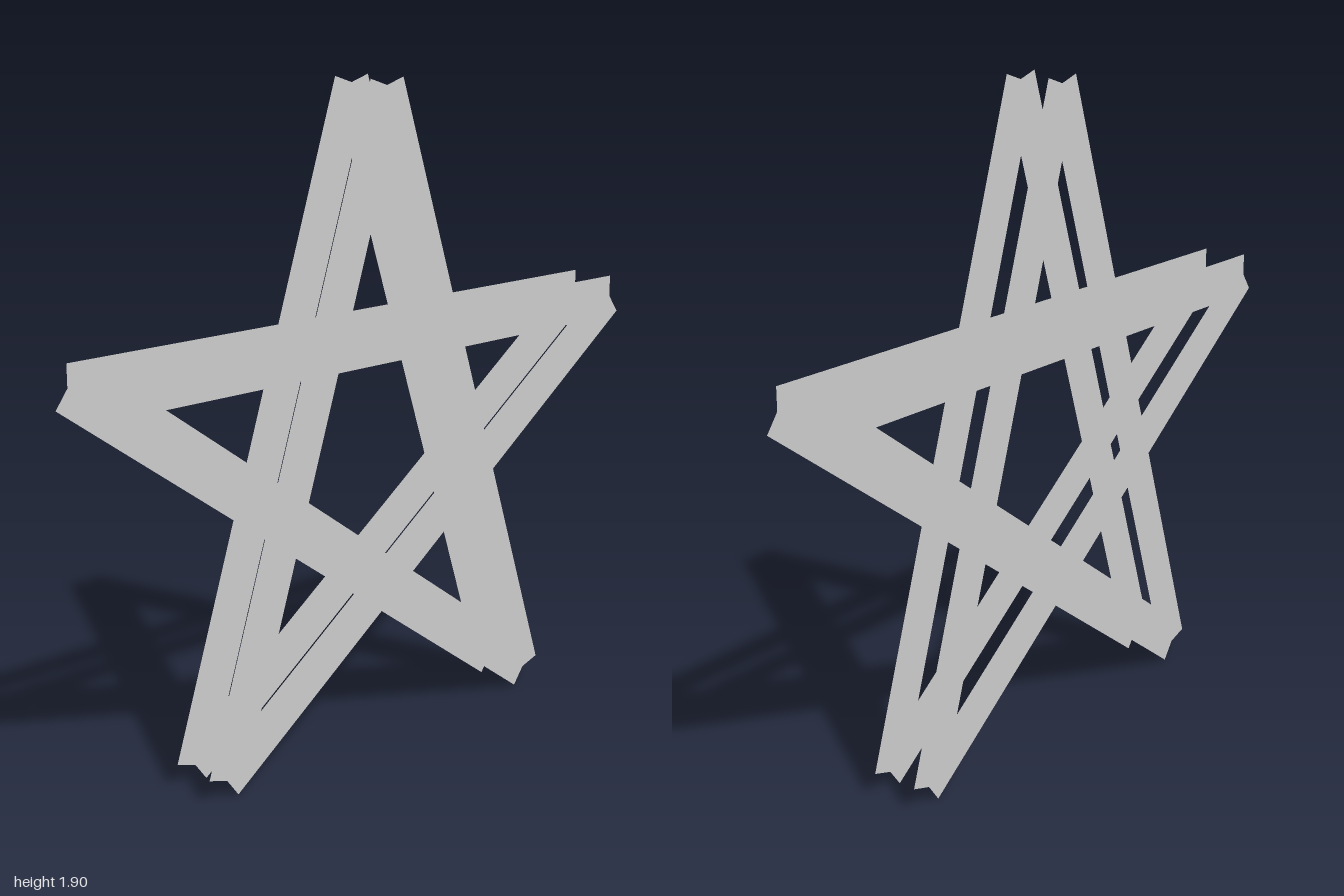
import * as THREE from 'three';

const W = 0.064;    // half width of a bar
const R = 1.012;    // centre to star tip
const GAP = 0.14;   // distance between the two sheets
const DEG = Math.PI / 180;
const APOTHEM = R * Math.cos(72 * DEG);                    // centre to a bar's centre line
const CENTRE_Y = (R + W) * Math.cos(36 * DEG);             // lowest corners touch y = 0

// Point given in an upright arm's frame, turned to arm k
function armPoint(k, x, y) {
  return new THREE.Vector2(x, y).rotateAround(new THREE.Vector2(), k * 72 * DEG);
}

// Five crossing bars as one flat shape with square-cut, notched tips
function starShape() {
  const tipX = W * Math.cos(18 * DEG), tipY = R + W * Math.sin(18 * DEG);
  const valley = (APOTHEM + W) / Math.cos(36 * DEG);
  const inner = (APOTHEM - W) / Math.cos(36 * DEG);
  const apex = R - W / Math.sin(18 * DEG);
  const base = APOTHEM + W;
  const baseX = (apex - base) * Math.tan(18 * DEG);

  const outline = [], pentagon = [], holes = [];
  for (let k = 0; k < 5; k++) {
    outline.push(
      armPoint(k - 0.5, 0, valley),
      armPoint(k, tipX, tipY),
      armPoint(k, 0, R),
      armPoint(k, -tipX, tipY),
    );
    pentagon.push(armPoint(k + 0.5, 0, inner));
    holes.push(new THREE.Path([
      armPoint(k, 0, apex), armPoint(k, -baseX, base), armPoint(k, baseX, base),
    ]));
  }
  const shape = new THREE.Shape(outline);
  shape.holes = [new THREE.Path(pentagon), ...holes];
  return shape;
}

export function createModel() {
  const model = new THREE.Group();
  model.name = 'doubleStar';
  const material = new THREE.MeshStandardMaterial({ color: 0xcccccc, side: THREE.DoubleSide });
  const geometry = new THREE.ShapeGeometry(starShape());

  // Two parallel sheets, one facing forward and one facing back
  for (const side of [1, -1]) {
    const sheet = new THREE.Mesh(geometry, material);
    sheet.name = side > 0 ? 'frontStar' : 'backStar';
    sheet.position.set(0, CENTRE_Y, side * GAP / 2);
    if (side < 0) sheet.rotation.y = Math.PI;
    model.add(sheet);
  }
  return model;
}
